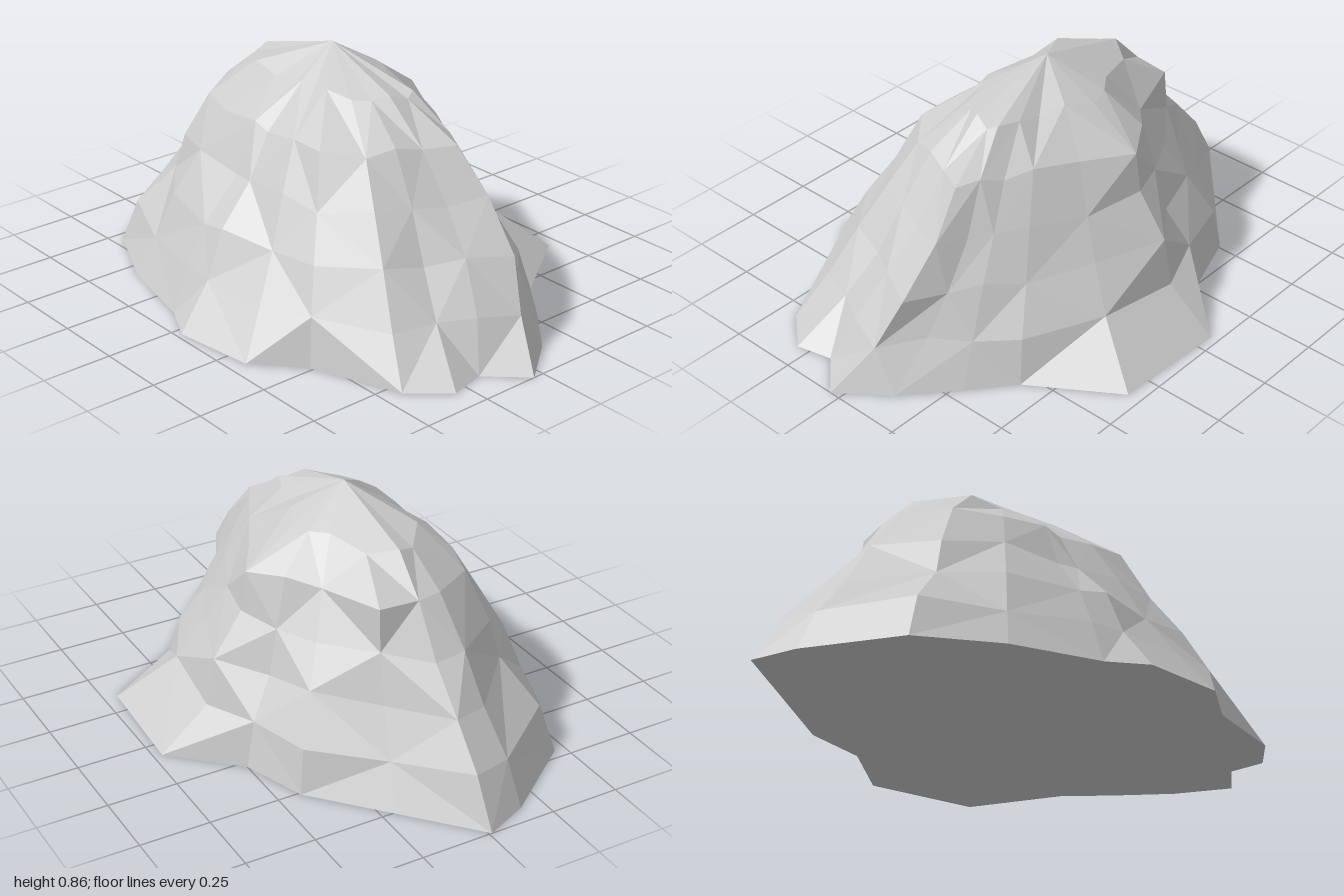
import * as THREE from 'three';

// Heights of the stacked cross-sections, and the peak that closes them
const LEVELS = [0, 0.155, 0.31, 0.46, 0.62, 0.745];
const PEAK = new THREE.Vector3(-0.01, 0.855, -0.04);

// Each column: x, z on the ground, then its distance from the axis at each
// higher level as a fraction of the ground distance
const COLUMNS = [
  [-0.01, -1.0, 0.9, 0.77, 0.63, 0.51, 0.38], // back tip
  [0.2, -0.76, 0.88, 0.76, 0.68, 0.66, 0.42], // back cliff
  [0.42, -0.51, 0.95, 0.79, 0.65, 0.51, 0.32],
  [0.5, -0.28, 0.93, 0.77, 0.69, 0.6, 0.36], // side notch
  [0.72, -0.07, 0.755, 0.71, 0.56, 0.53, 0.28], // side cliff
  [0.7, 0.35, 0.73, 0.6, 0.5, 0.4, 0.22],
  [0.4, 0.55, 0.93, 0.78, 0.65, 0.51, 0.29],
  [0.28, 0.7, 0.9, 0.78, 0.66, 0.53, 0.34],
  [0.13, 0.87, 0.84, 0.74, 0.62, 0.51, 0.36],
  [-0.04, 1.0, 0.865, 0.78, 0.64, 0.52, 0.33], // front ridge
  [-0.17, 0.88, 0.92, 0.8, 0.67, 0.53, 0.35],
  [-0.3, 0.91, 0.82, 0.7, 0.6, 0.48, 0.31],
  [-0.43, 0.8, 0.87, 0.74, 0.62, 0.5, 0.29],
  [-0.55, 0.49, 0.95, 0.84, 0.7, 0.57, 0.27], // front corner
  [-0.69, 0.33, 0.85, 0.7, 0.58, 0.45, 0.23],
  [-0.73, 0.03, 0.83, 0.73, 0.55, 0.43, 0.2], // flat side
  [-0.66, -0.11, 0.9, 0.8, 0.6, 0.48, 0.22],
  [-0.59, -0.43, 0.9, 0.8, 0.66, 0.53, 0.28],
  [-0.46, -0.71, 0.92, 0.73, 0.68, 0.56, 0.34], // back hollow
  [-0.17, -0.93, 0.92, 0.79, 0.68, 0.54, 0.39],
];

// The front ridge swings towards +x halfway up and returns to the peak
function ridgeSwing(x, z, level) {
  const nearRidge = z > 0 ? Math.max(0, 1 - Math.abs(x + 0.04) / 0.35) : 0;
  return 0.13 * nearRidge * Math.sin((Math.PI * level) / PEAK.y);
}

function rockGeometry() {
  const n = COLUMNS.length;
  const positions = [];
  const index = [];

  // Rings, with a slight unevenness in height above the ground
  LEVELS.forEach((level, l) => {
    COLUMNS.forEach(([x, z, ...insets], c) => {
      const f = l === 0 ? 1 : insets[l - 1];
      const y = l === 0 ? 0 : level + 0.012 * Math.sin(c * 2.4 + l * 1.7);
      positions.push(
        PEAK.x + (x - PEAK.x) * f + ridgeSwing(x, z, level),
        y,
        PEAK.z + (z - PEAK.z) * f,
      );
    });
  });
  const top = positions.length / 3;
  positions.push(...PEAK.toArray(), PEAK.x, 0, PEAK.z);

  for (let c = 0; c < n; c++) {
    const next = (c + 1) % n;
    // Sides, alternating the diagonal for irregular facets
    for (let l = 0; l < LEVELS.length - 1; l++) {
      const a = l * n + c, b = l * n + next;
      const d = a + n, e = b + n;
      if ((c + l) % 2) index.push(a, d, b, b, d, e);
      else index.push(a, e, b, a, d, e);
    }
    // Peak fan and flat underside
    const last = (LEVELS.length - 1) * n;
    index.push(last + c, top, last + next);
    index.push(c, next, top + 1);
  }

  const geometry = new THREE.BufferGeometry();
  geometry.setAttribute('position', new THREE.Float32BufferAttribute(positions, 3));
  geometry.setIndex(index);
  const faceted = geometry.toNonIndexed();
  faceted.computeVertexNormals();
  return faceted;
}

export function createModel() {
  const model = new THREE.Group();
  model.name = 'boulder';
  const material = new THREE.MeshStandardMaterial({ color: 0xcccccc, flatShading: true });
  const rock = new THREE.Mesh(rockGeometry(), material);
  rock.name = 'rock';
  model.add(rock);
  return model;
}
